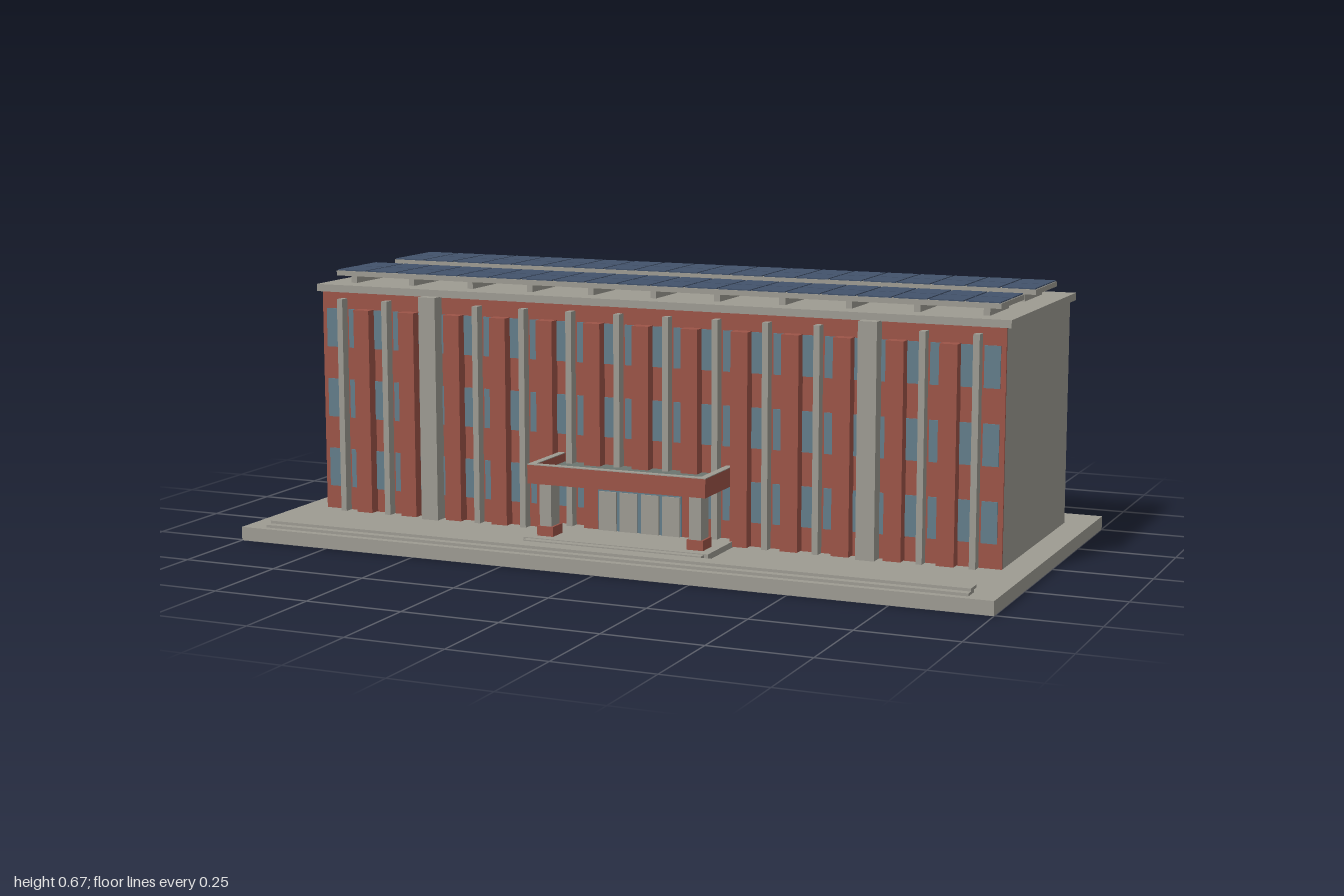
import * as THREE from 'three';

const mat = (name, color) => {
  const m = new THREE.MeshStandardMaterial({ color });
  m.name = name;
  return m;
};

export function createModel() {
  const concrete = mat('concrete', 0x9d9b92);
  const brick = mat('brick', 0x9c5448);
  const glass = mat('window glass', 0x637d8a);
  const solar = mat('solar blue', 0x42526b);
  const canopyGlass = mat('canopy glass', 0x6c756f);
  const model = new THREE.Group();
  model.name = 'officeBuilding';

  const group = (name) => {
    const g = new THREE.Group();
    g.name = name;
    model.add(g);
    return g;
  };
  // Box given by its limits on each axis
  const box = (parent, name, material, x0, x1, y0, y1, z0, z1) => {
    const mesh = new THREE.Mesh(new THREE.BoxGeometry(x1 - x0, y1 - y0, z1 - z0), material);
    mesh.position.set((x0 + x1) / 2, (y0 + y1) / 2, (z0 + z1) / 2);
    mesh.name = name;
    parent.add(mesh);
    return mesh;
  };
  // Box centred on cx with a given width
  const post = (parent, name, material, cx, w, y0, y1, z0, z1) =>
    box(parent, name, material, cx - w / 2, cx + w / 2, y0, y1, z0, z1);

  // Main masses
  box(model, 'groundSlab', concrete, -1, 1, 0, 0.035, -0.505, 0.505);
  box(model, 'body', concrete, -0.93, 0.93, 0.035, 0.616, -0.385, 0.194);
  box(model, 'frontWall', brick, -0.93, 0.93, 0.035, 0.616, 0.194, 0.199);
  box(model, 'roofSlab', concrete, -0.943, 0.943, 0.616, 0.635, -0.392, 0.207);

  // Windows: 28 columns on three floors
  const facade = group('facade');
  const bay = 0.1329;
  for (let j = -14; j < 14; j++) {
    for (const y of [0.096, 0.283, 0.47]) {
      post(facade, 'window', glass, (j + 0.5) * bay / 2, 0.04, y, y + 0.102, 0.197, 0.202);
    }
  }

  // Brick piers between the bays
  for (let i = -6; i <= 6; i++) {
    post(facade, 'brickPier', brick, i * bay, 0.045, 0.037, 0.574, 0.197, 0.23);
  }

  // Slim fins at bay centres, with two tall wide pilasters
  for (let i = -7; i < 7; i++) {
    const x = (i + 0.5) * bay;
    if (Math.abs(Math.abs(i + 0.5) - 4.5) < 0.1) {
      post(facade, 'tallPilaster', concrete, x, 0.048, 0.035, 0.618, 0.197, 0.237);
    } else {
      post(facade, 'slimFin', concrete, x, 0.016, 0.035, 0.6, 0.197, 0.225);
    }
  }

  // Entrance doors and glazing
  const entrance = group('entrance');
  box(entrance, 'entranceGlass', glass, -0.115, 0.115, 0.05, 0.185, 0.226, 0.232);
  for (const x of [-0.087, -0.03, 0.03, 0.087]) {
    post(entrance, 'doorPanel', concrete, x, 0.048, 0.05, 0.15, 0.23, 0.236);
  }

  // Platform and steps
  const steps = group('steps');
  box(steps, 'entrancePlatform', concrete, -0.25, 0.25, 0.035, 0.05, 0.199, 0.385);
  box(steps, 'entranceStepUpper', concrete, -0.24, 0.24, 0.042, 0.048, 0.38, 0.405);
  box(steps, 'entranceStepLower', concrete, -0.24, 0.24, 0.035, 0.042, 0.38, 0.425);
  box(steps, 'longStepLower', concrete, -0.935, 0.935, 0.036, 0.043, 0.445, 0.49);
  box(steps, 'longStepUpper', concrete, -0.935, 0.935, 0.043, 0.05, 0.425, 0.47);

  // Canopy: brick frame round a glazed deck, on two columns
  const canopy = group('canopy');
  box(canopy, 'canopyDeck', canopyGlass, -0.222, 0.222, 0.195, 0.212, 0.199, 0.364);
  box(canopy, 'canopyFront', brick, -0.24, 0.24, 0.186, 0.233, 0.362, 0.379);
  box(canopy, 'canopyCoping', concrete, -0.24, 0.24, 0.233, 0.235, 0.362, 0.379);
  for (const s of [-1, 1]) {
    post(canopy, 'canopySide', brick, s * 0.231, 0.018, 0.186, 0.233, 0.199, 0.362);
    post(canopy, 'canopyCoping', concrete, s * 0.231, 0.018, 0.233, 0.235, 0.199, 0.362);
    post(canopy, 'columnBase', brick, s * 0.203, 0.044, 0.05, 0.075, 0.304, 0.357);
    post(canopy, 'column', concrete, s * 0.203, 0.032, 0.075, 0.196, 0.307, 0.354);
    post(canopy, 'columnCap', brick, s * 0.203, 0.036, 0.21, 0.214, 0.306, 0.358);
  }

  // Two rows of solar panels on stands
  const array = group('solarArray');
  const cols = 20, pitch = 1.812 / cols;
  for (const zc of [0.066, -0.24]) {
    box(array, 'panelFrame', concrete, -0.906, 0.906, 0.655, 0.668, zc - 0.1, zc + 0.1);
    for (let i = -5; i <= 5; i++) {
      post(array, 'panelStand', concrete, i * 0.173, 0.016, 0.634, 0.656, zc - 0.08, zc + 0.08);
    }
    for (let i = 0; i < cols; i++) {
      const x = -0.906 + (i + 0.5) * pitch;
      for (const s of [-1, 1]) {
        const z = zc + s * 0.05;
        post(array, 'solarPanel', solar, x, pitch - 0.006, 0.667, 0.671, z - 0.047, z + 0.047);
      }
    }
  }
  return model;
}
